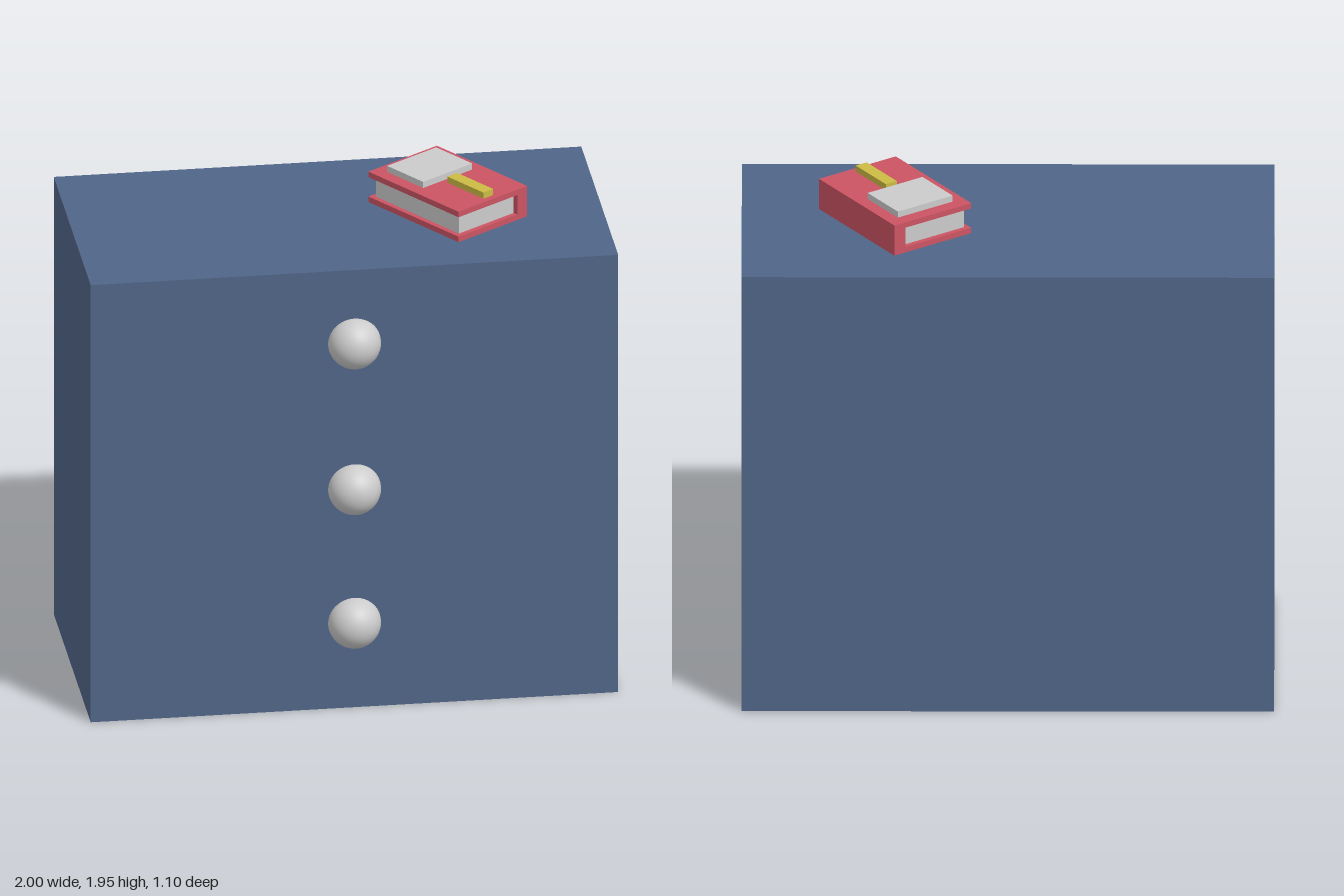
import * as THREE from 'three';

const paint = (color) => new THREE.MeshStandardMaterial({ color });
const blue = paint(0x506688);
const red = paint(0xcc5464);
const yellow = paint(0xccbb44);
const grey = paint(0xcccccc);

// Box of a given size, centred on x and z, with its underside at y
function box(parent, name, material, [w, h, d], [x, y, z]) {
  const mesh = new THREE.Mesh(new THREE.BoxGeometry(w, h, d), material);
  mesh.name = name;
  mesh.position.set(x, y + h / 2, z);
  parent.add(mesh);
}

// Closed book lying flat, spine on its +x side, with two plates on the cover
function createBook() {
  const book = new THREE.Group();
  book.name = 'book';
  const width = 0.35, length = 0.5, height = 0.125;
  const cover = 0.0225, spine = 0.05, inset = 0.02;
  const inner = height - 2 * cover;

  box(book, 'backCover', red, [width, cover, length], [0, 0, 0]);
  box(book, 'frontCover', red, [width, cover, length], [0, height - cover, 0]);
  box(book, 'spine', red, [spine, inner, length], [(width - spine) / 2, cover, 0]);
  box(book, 'pages', grey, [width - spine - inset, inner, length - 2 * inset],
    [(inset - spine) / 2, cover, 0]);
  box(book, 'coverPanel', grey, [0.25, 0.025, 0.2], [0, height, -0.1]);
  box(book, 'coverStrip', yellow, [0.05, 0.025, 0.2], [0, height, 0.125]);
  return book;
}

export function createModel() {
  const model = new THREE.Group();
  model.name = 'dresser';

  // Cabinet body
  box(model, 'cabinet', blue, [2, 1.8, 1], [0, 0, -0.05]);

  // Round knobs, half sunk into the front
  const knobGeometry = new THREE.SphereGeometry(0.1, 32, 24);
  for (const y of [0.35, 0.9, 1.5]) {
    const knob = new THREE.Mesh(knobGeometry, grey);
    knob.name = 'knob';
    knob.position.set(0, y, 0.45);
    model.add(knob);
  }

  // Book turned at an angle on the top
  const book = createBook();
  book.position.set(0.424, 1.8, -0.053);
  book.rotation.y = 0.605;
  model.add(book);

  return model;
}
